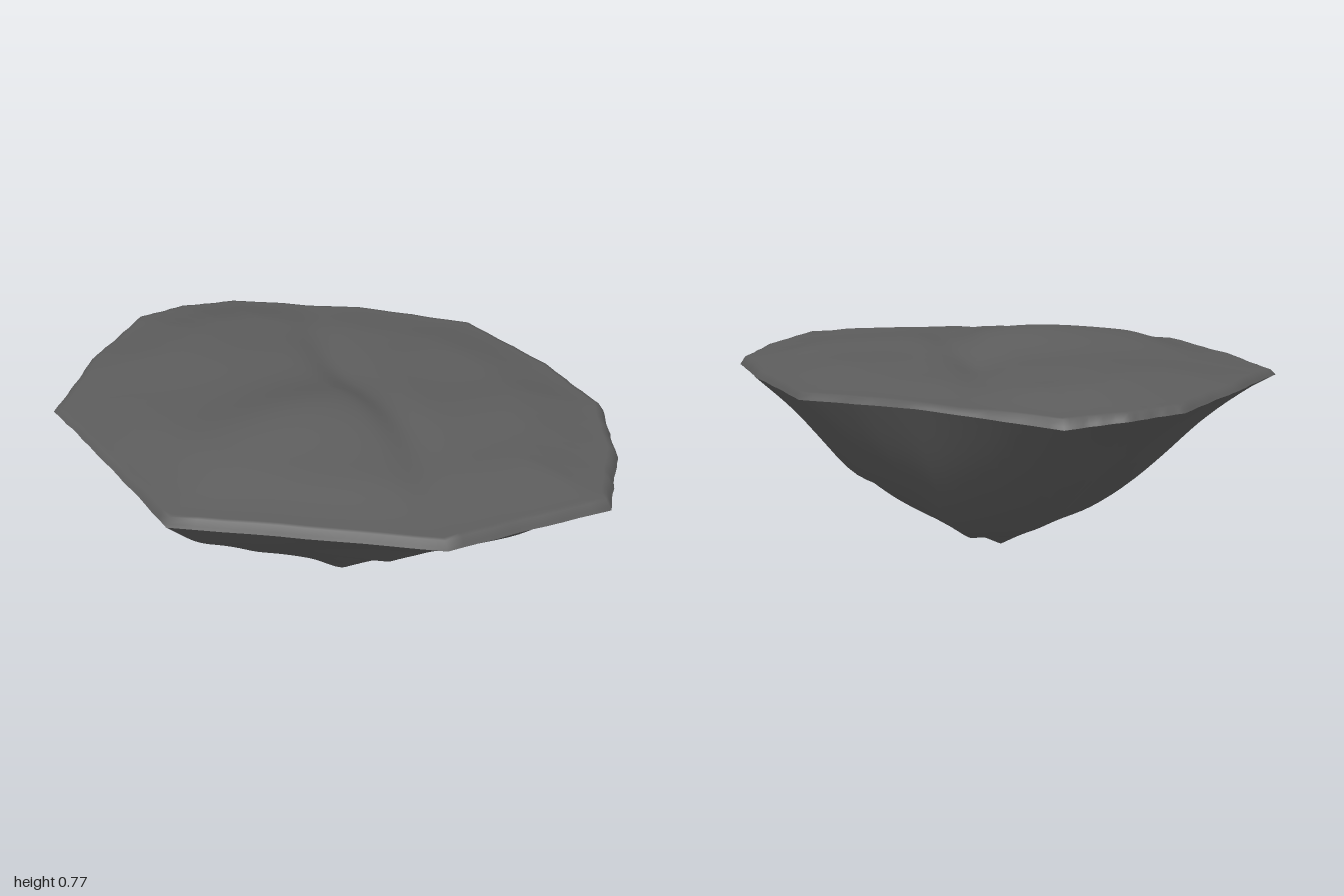
import * as THREE from 'three';

const stone = new THREE.MeshStandardMaterial({ color: 0x5c5c5c });
stone.name = 'darkStone';

// Rim corners, clockwise from the back: x, z, rim height, then the underside's heights along the spoke
const KNOTS = [0, 0.12, 0.25, 0.4, 0.55, 0.7, 0.85, 1];
const CORNERS = [
  [-0.15, -1.0, 0.62, 0.055, 0.095, 0.15, 0.25, 0.365, 0.495],
  [0.31, -0.78, 0.65, 0.045, 0.08, 0.105, 0.17, 0.28, 0.44],
  [0.69, -0.55, 0.64, 0.05, 0.10, 0.17, 0.25, 0.35, 0.49],
  [0.86, -0.12, 0.64, 0.06, 0.11, 0.18, 0.26, 0.38, 0.52],
  [0.94, 0.22, 0.63, 0.055, 0.12, 0.18, 0.235, 0.37, 0.52],
  [0.87, 0.55, 0.62, 0.06, 0.14, 0.22, 0.30, 0.42, 0.54],
  [0.72, 0.88, 0.62, 0.06, 0.14, 0.24, 0.31, 0.41, 0.53],
  [0.13, 1.0, 0.62, 0.055, 0.15, 0.25, 0.33, 0.45, 0.54],
  [-0.70, 0.64, 0.62, 0.08, 0.16, 0.24, 0.33, 0.41, 0.50],
  [-0.85, 0.15, 0.65, 0.07, 0.14, 0.19, 0.25, 0.37, 0.51],
  [-0.95, -0.20, 0.65, 0.07, 0.145, 0.20, 0.31, 0.46, 0.57],
  [-0.76, -0.57, 0.66, 0.06, 0.12, 0.19, 0.29, 0.41, 0.54],
  [-0.54, -0.89, 0.65, 0.06, 0.12, 0.20, 0.31, 0.42, 0.54],
  [-0.36, -0.97, 0.64, 0.06, 0.11, 0.18, 0.28, 0.39, 0.52],
];
const STEPS = 10;
const RINGS = 28;

// Spokes from the centre to evenly spaced points of the rim
const spokes = CORNERS.flatMap((a, i) => {
  const b = CORNERS[(i + 1) % CORNERS.length];
  return Array.from({ length: STEPS }, (_, k) => {
    const [x, z, rim, ...heights] = a.map((v, j) => THREE.MathUtils.lerp(v, b[j], k / STEPS));
    const chip = 1 - 0.006 * Math.abs(Math.sin((i * STEPS + k) * 2.3)) * Math.sin(Math.PI * k / STEPS);
    const profile = new THREE.SplineCurve(
      [0, ...heights, rim].map((y, j) => new THREE.Vector2(KNOTS[j], y)));
    return { x: x * chip, z: z * chip, rim, profile };
  });
});

const bump = (x, z, cx, cz, wx, wz) => Math.exp(-(((x - cx) / wx) ** 2) - ((z - cz) / wz) ** 2);

// Height of the plateau: a hill towards the front, low swells and a winding hollow
function plateau(x, z) {
  return 0.69
    + 0.068 * bump(x, z, -0.1, 0.2, 0.33, 0.3)
    + 0.025 * bump(x, z, -0.45, 0.28, 0.25, 0.2)
    + 0.03 * bump(x, z, -0.4, -0.5, 0.4, 0.4)
    + 0.018 * bump(x, z, 0.5, 0.1, 0.4, 0.6)
    - 0.03 * bump(x, z, 0.13 + 0.05 * Math.sin(4 * z), 0, 0.08, 0.75)
    + 0.004 * Math.sin(13 * z + 3 * x) * Math.sin(5 * x + 2);
}

// Closed rings of points along all spokes; up chooses the facing
function shell(name, point, up) {
  const pos = [], index = [], n = spokes.length;
  for (let r = 0; r <= RINGS; r++) spokes.forEach((s) => pos.push(...point(s, r / RINGS)));
  for (let r = 0; r < RINGS; r++) {
    for (let i = 0; i < n; i++) {
      const a = r * n + i, b = r * n + (i + 1) % n, c = a + n, d = b + n;
      if (up) index.push(a, d, c, a, b, d);
      else index.push(a, c, d, a, d, b);
    }
  }
  const geometry = new THREE.BufferGeometry();
  geometry.setAttribute('position', new THREE.Float32BufferAttribute(pos, 3));
  geometry.setIndex(index);
  geometry.computeVertexNormals();
  const mesh = new THREE.Mesh(geometry, stone);
  mesh.name = name;
  return mesh;
}

export function createModel() {
  const group = new THREE.Group();
  group.name = 'rockIsland';

  // Tapering underside
  group.add(shell('underside', (s, u) => {
    const p = s.profile.getPoint(u);
    const x = s.x * p.x, z = s.z * p.x;
    const rough = 0.006 * Math.sin(Math.PI * u) * Math.sin(9 * x + 2) * Math.sin(11 * z + 14 * p.y);
    return [x, Math.max(0, p.y + rough), z];
  }, false));

  // Gently rolling top, rounded off at the rim
  group.add(shell('plateau', (s, u) => {
    const t = 1 - (1 - u) ** 1.5;
    const x = s.x * t, z = s.z * t;
    const edge = Math.min(1, (1 - t) / 0.35);
    const rise = 0.45 * Math.min(1, (1 - t) / 0.02) + 0.55 * edge * edge * (3 - 2 * edge);
    return [x, THREE.MathUtils.lerp(s.rim, plateau(x, z), rise), z];
  }, true));

  return group;
}
